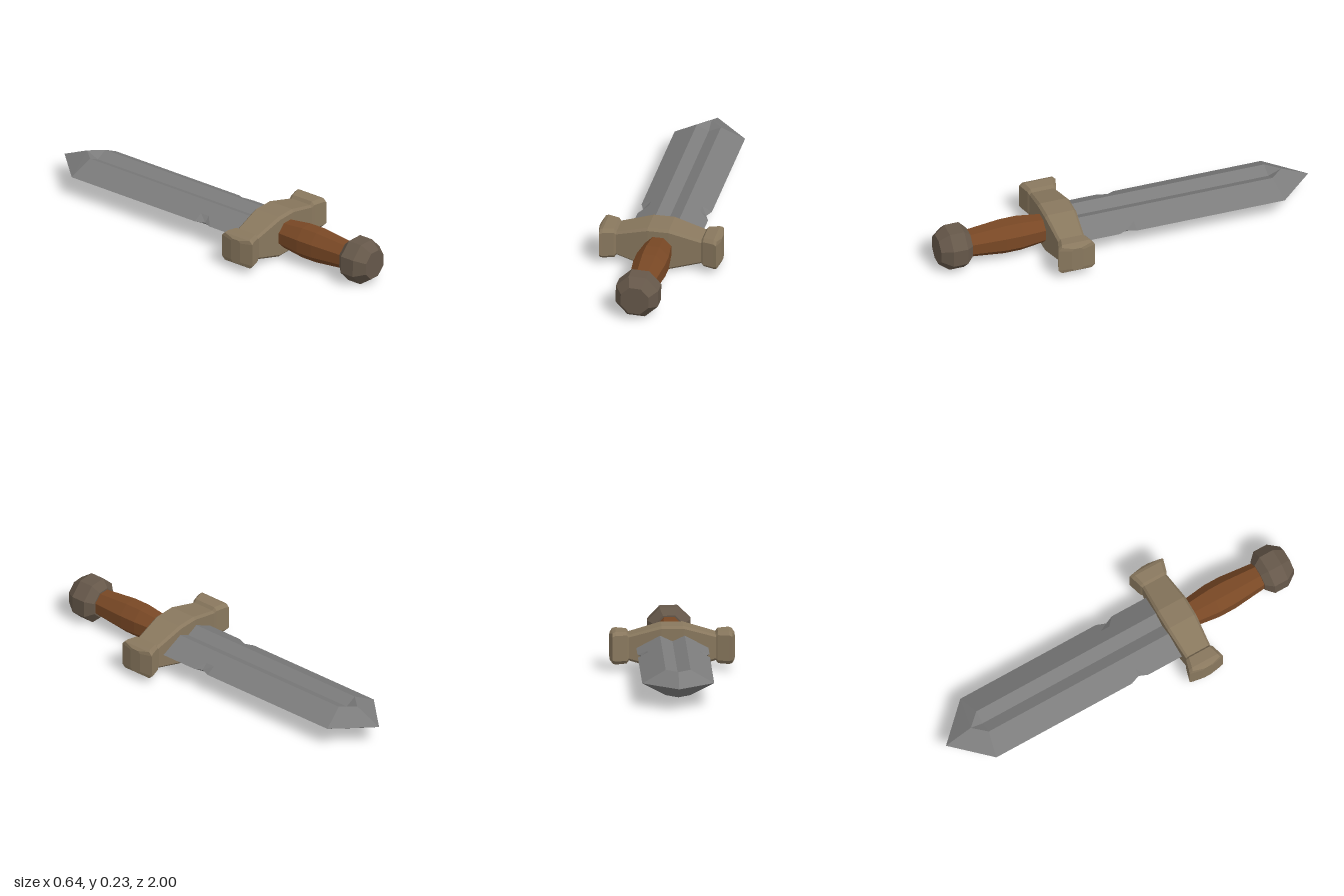
import * as THREE from 'three';

const CY = 0.113; // height of the sword's axis

const flat = (name, color) => {
  const m = new THREE.MeshStandardMaterial({ color, flatShading: true });
  m.name = name;
  return m;
};

function fromTriangles(pos) {
  const g = new THREE.BufferGeometry();
  g.setAttribute('position', new THREE.Float32BufferAttribute(pos, 3));
  g.computeVertexNormals();
  return g;
}

// Loft of chamfered rectangles along x; stations are [x, halfHeight, halfDepth, chamfer]
function loftX(stations) {
  const rings = stations.map(([x, h, d, c]) => [
    [-d, c - h], [-d, h - c], [c - d, h], [d - c, h],
    [d, h - c], [d, c - h], [d - c, -h], [c - d, -h],
  ].map(([z, y]) => [x, y, z]));
  const pos = [];
  const tri = (a, b, c) => pos.push(...a, ...b, ...c);
  for (let k = 0; k < rings.length - 1; k++) {
    for (let i = 0; i < 8; i++) {
      const j = (i + 1) % 8, A = rings[k], B = rings[k + 1];
      tri(A[i], A[j], B[i]);
      tri(A[j], B[j], B[i]);
    }
  }
  const first = rings[0], last = rings[rings.length - 1];
  for (let i = 1; i < 7; i++) {
    tri(first[0], first[i + 1], first[i]);
    tri(last[0], last[i], last[i + 1]);
  }
  return fromTriangles(pos);
}

// Eight-sided turned shape along z; profile is [radius, z]
function turned(profile) {
  const pts = profile.map(([r, z]) => new THREE.Vector2(r, z));
  return new THREE.LatheGeometry(pts, 8, Math.PI / 8).rotateX(Math.PI / 2);
}

// One quarter of the fullered blade, mirrored four times
function bladeGeometry() {
  const pos = [];
  const tri = (...corners) => {
    for (const sx of [1, -1]) for (const sy of [1, -1]) {
      const c = sx * sy > 0 ? corners : [...corners].reverse();
      c.forEach(([x, y, z]) => pos.push(x * sx, y * sy, z));
    }
  };
  // [z, edge half-width, z shift of the edge]; the third station is the nick
  const rows = [[0.33, 0.183, 0], [0.08, 0.183, 0], [0.035, 0.164, 0], [-0.015, 0.183, 0], [-0.785, 0.183, -0.025]]
    .map(([z, e, dz]) => [
      [0, 0.036, z],
      [0.063, 0.065, z],
      [0.133, 0.027, z + dz * 0.6],
      [e, 0, z + dz],
    ]);
  for (let i = 0; i < rows.length - 1; i++) {
    for (let j = 0; j < 3; j++) {
      const a = rows[i][j], b = rows[i][j + 1], c = rows[i + 1][j], d = rows[i + 1][j + 1];
      tri(a, b, c);
      tri(b, d, c);
    }
  }
  // Point, with the fuller closing in a small arrowhead
  const [groove, ridge, mid, edge] = rows[rows.length - 1];
  const apex = [0, 0.065, -0.855], tip = [0, 0, -1];
  tri(groove, ridge, apex);
  tri(ridge, mid, apex);
  tri(mid, edge, apex);
  tri(apex, edge, tip);
  return fromTriangles(pos);
}

export function createModel() {
  const steel = flat('steel', 0x7c7c7c);
  const brass = flat('dull brass', 0x89785e);
  const wood = flat('brown grip', 0x794825);
  const iron = flat('dark bronze', 0x66584a);

  const model = new THREE.Group();
  model.name = 'sword';
  const add = (parent, name, geometry, material) => {
    const mesh = new THREE.Mesh(geometry, material);
    mesh.name = name;
    parent.add(mesh);
    return mesh;
  };

  add(model, 'blade', bladeGeometry(), steel).position.y = CY;

  // Crossguard: tapered bar with a flared block at each end
  const guard = new THREE.Group();
  guard.name = 'crossguard';
  guard.position.set(0, CY, 0.352);
  model.add(guard);
  add(guard, 'guardBar', loftX([
    [-0.23, 0.063, 0.07, 0.011], [-0.055, 0.113, 0.084, 0.013],
    [0.055, 0.113, 0.084, 0.013], [0.23, 0.063, 0.07, 0.011],
  ]), brass);
  const endGeometry = loftX([
    [0.219, 0.064, 0.07, 0.012], [0.232, 0.081, 0.077, 0.016],
    [0.288, 0.084, 0.093, 0.018], [0.304, 0.078, 0.098, 0.018],
    [0.318, 0.066, 0.03, 0.012],
  ]);
  for (const [name, turn] of [['leftGuardEnd', 0], ['rightGuardEnd', Math.PI]]) {
    add(guard, name, endGeometry, brass).rotation.y = turn;
  }

  // Grip swells in the middle
  add(model, 'grip', turned([
    [0.071, 0.40], [0.076, 0.45], [0.09, 0.56], [0.09, 0.65], [0.07, 0.85],
  ]), wood).position.y = CY;

  // Faceted pommel
  const pommel = add(model, 'pommel', turned([
    [0, 0.83], [0.08, 0.83], [0.119, 0.868], [0.119, 0.945], [0.078, 1], [0, 1],
  ]), iron);
  pommel.position.y = CY;
  pommel.rotation.z = -0.03;

  return model;
}
